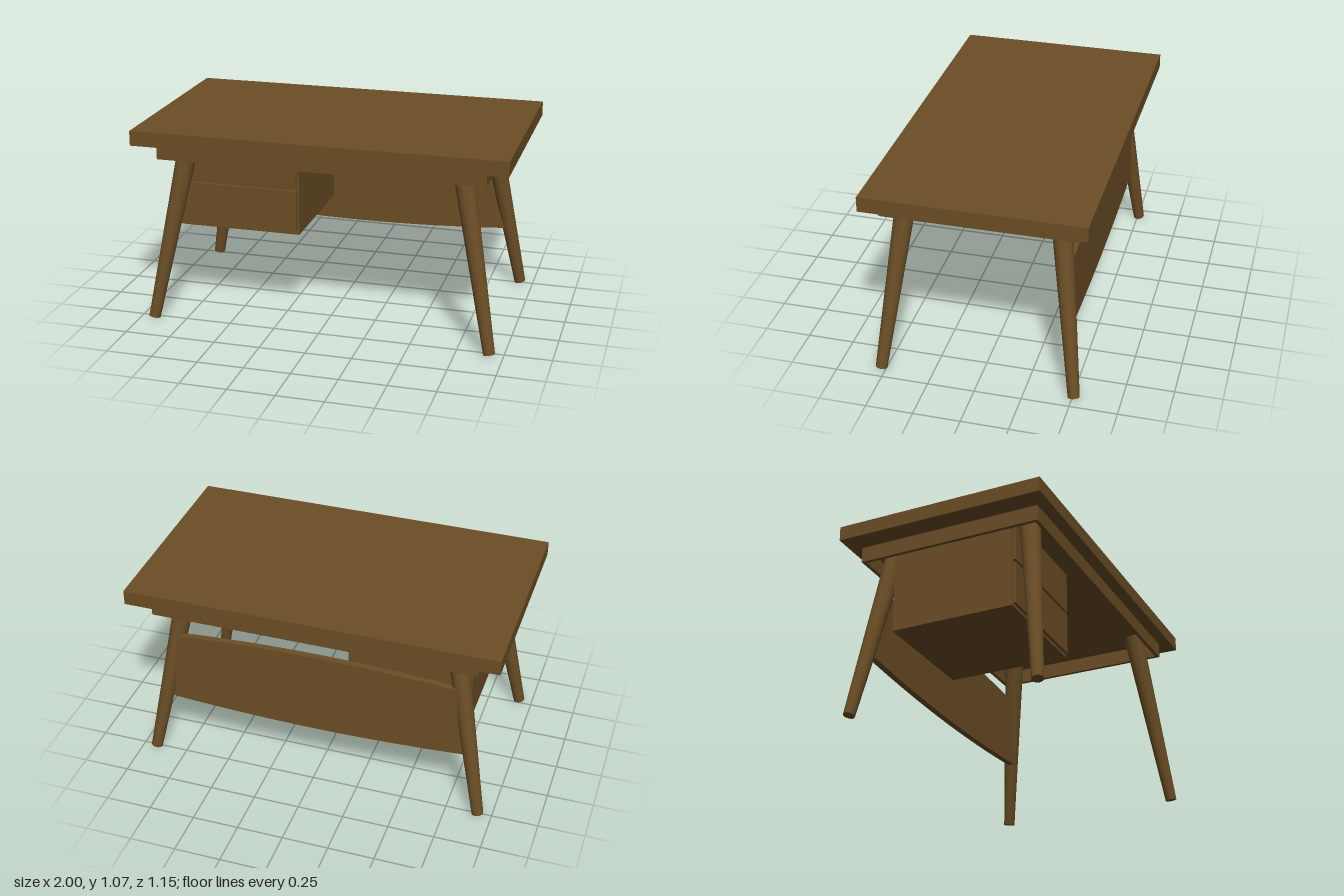
import * as THREE from 'three';

const wood = new THREE.MeshStandardMaterial({ color: 0x6b4e26 });

function addMesh(parent, name, geometry) {
  const mesh = new THREE.Mesh(geometry, wood);
  mesh.name = name;
  parent.add(mesh);
  return mesh;
}

// Box given by its limits on each axis
function addBox(parent, name, [x0, x1], [y0, y1], [z0, z1]) {
  const mesh = addMesh(parent, name, new THREE.BoxGeometry(x1 - x0, y1 - y0, z1 - z0));
  mesh.position.set((x0 + x1) / 2, (y0 + y1) / 2, (z0 + z1) / 2);
  return mesh;
}

// Tapered round leg between two points, ends cut square to its axis
function addLeg(parent, name, foot, head) {
  const axis = head.clone().sub(foot);
  const leg = addMesh(parent, name, new THREE.CylinderGeometry(0.055, 0.031, axis.length(), 32));
  leg.position.copy(foot).add(head).multiplyScalar(0.5);
  leg.quaternion.setFromUnitVectors(new THREE.Vector3(0, 1, 0), axis.normalize());
}

export function createModel() {
  const desk = new THREE.Group();
  desk.name = 'desk';

  // Top slab
  addBox(desk, 'top', [-1, 1], [0.99, 1.07], [-0.577, 0.577]);

  // Open apron frame under the top
  const apron = new THREE.Group();
  apron.name = 'apron';
  desk.add(apron);
  const w = 0.88, d = 0.51, t = 0.02, rise = [0.905, 0.99];
  addBox(apron, 'apronFront', [-w, w], rise, [d - t, d]);
  addBox(apron, 'apronBack', [-w, w], rise, [-d, -d + t]);
  addBox(apron, 'apronRight', [-w, -w + t], rise, [-d + t, d - t]);
  addBox(apron, 'apronLeft', [w - t, w], rise, [-d + t, d - t]);

  // Four splayed legs, set slightly forward
  for (const sx of [-1, 1]) {
    for (const sz of [-1, 1]) {
      addLeg(
        desk,
        (sz > 0 ? 'front' : 'back') + (sx > 0 ? 'Left' : 'Right') + 'Leg',
        new THREE.Vector3(sx * 0.925, 0.007, 0.009 + sz * 0.517),
        new THREE.Vector3(sx * 0.734, 0.99, 0.009 + sz * 0.394)
      );
    }
  }

  // Drawer cabinet with two equal drawer fronts
  const cabinet = new THREE.Group();
  cabinet.name = 'cabinet';
  desk.add(cabinet);
  addBox(cabinet, 'cabinetBody', [-0.82, -0.15], [0.49, 0.99], [-0.34, 0.34]);
  addBox(cabinet, 'lowerDrawer', [-0.81, -0.162], [0.507, 0.738], [0.34, 0.357]);
  addBox(cabinet, 'upperDrawer', [-0.81, -0.162], [0.752, 0.983], [0.34, 0.357]);

  // Back panel with bowed upper and lower edges, let into the back legs
  const outline = new THREE.Shape();
  outline.moveTo(-0.85, 0.353);
  outline.quadraticCurveTo(0, 0.287, 0.85, 0.353);
  outline.lineTo(0.775, 0.758);
  outline.quadraticCurveTo(0, 0.822, -0.775, 0.758);
  outline.closePath();
  const panel = addMesh(desk, 'backPanel',
    new THREE.ExtrudeGeometry(outline, { depth: 0.035, bevelEnabled: false, curveSegments: 24 }));
  panel.position.z = -0.465;

  return desk;
}
